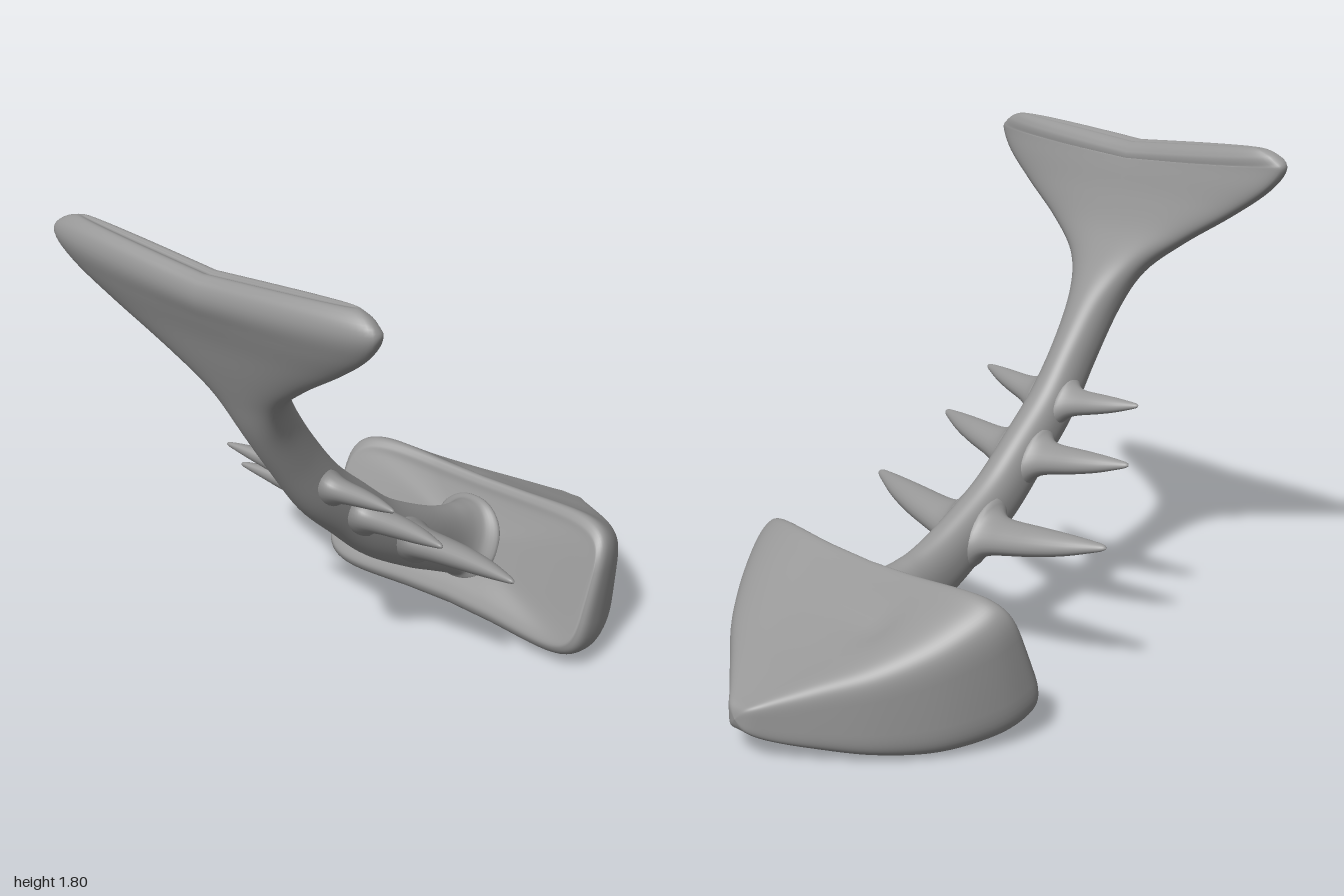
import * as THREE from 'three';

const material = new THREE.MeshStandardMaterial({ color: 0x969696 });

// Smooth interpolation through rows of section values, u in 0..1
function sample(rows, u) {
  const f = Math.min(Math.max(u, 0), 1) * (rows.length - 1);
  const i = Math.min(Math.floor(f), rows.length - 2);
  const t = f - i;
  const row = (k) => rows[Math.min(Math.max(k, 0), rows.length - 1)];
  return rows[i].map((b, k) => {
    const a = row(i - 1)[k], c = row(i + 1)[k], d = row(i + 2)[k];
    const m0 = (c - a) / 2, m1 = (d - b) / 2;
    return b + t * (m0 + t * (3 * (c - b) - 2 * m0 - m1 + t * (2 * (b - c) + m0 + m1)));
  });
}

// Point on a rounded-box outline; a higher exponent gives squarer corners
function outline(angle, exponent) {
  const c = Math.cos(angle), s = Math.sin(angle);
  const p = 2 / exponent;
  return [Math.sign(c) * Math.abs(c) ** p, Math.sign(s) * Math.abs(s) ** p];
}

// Closed skin over rings of points
function loft(name, nu, nv, pointAt) {
  const positions = [], index = [];
  for (let i = 0; i <= nu; i++) {
    for (let j = 0; j < nv; j++) positions.push(...pointAt(i / nu, (j / nv) * Math.PI * 2));
  }
  for (let i = 0; i < nu; i++) {
    for (let j = 0; j < nv; j++) {
      const a = i * nv + j, c = i * nv + ((j + 1) % nv);
      index.push(a, a + nv, c, c, a + nv, c + nv);
    }
  }
  const geometry = new THREE.BufferGeometry();
  geometry.setAttribute('position', new THREE.Float32BufferAttribute(positions, 3));
  geometry.setIndex(index);
  geometry.computeVertexNormals();
  const mesh = new THREE.Mesh(geometry, material);
  mesh.name = name;
  return mesh;
}

// Wedge head: bottom x, bottom y, top x, top y, half width, hollow of the back
const headRows = [
  [0.25, 0.31, 0.25, 0.31, 0, 1],
  [0.2, 0.2, 0.295, 0.42, 0.28, 1],
  [0.152, 0.11, 0.33, 0.515, 0.53, 1],
  [0.147, 0.065, 0.35, 0.555, 0.575, 0.8],
  [0.2, 0.02, 0.39, 0.574, 0.59, 0.4],
  [0.33, -0.012, 0.46, 0.535, 0.57, 0],
  [0.52, -0.022, 0.58, 0.45, 0.49, 0],
  [0.69, 0.0, 0.72, 0.36, 0.365, 0],
  [0.83, 0.038, 0.84, 0.288, 0.22, 0],
  [0.93, 0.074, 0.935, 0.23, 0.105, 0],
  [0.985, 0.112, 0.985, 0.197, 0.045, 0],
  [1.0, 0.155, 1.0, 0.155, 0, 0],
];

function makeHead() {
  return loft('head', 66, 96, (u, angle) => {
    const [bx, by, tx, ty, w, hollow] = sample(headRows, u);
    const [h, v] = outline(angle, 5);
    const z = h * w;
    const k = (v + 1) / 2;
    const x = bx + (tx - bx) * k + 0.045 * hollow * (1 - (z / 0.59) ** 2);
    // Top and bottom sag slightly inwards along the middle
    let y = by + (ty - by) * k - v * 0.09 * w * (1 - h * h);
    // Shallow eye dimple on one side
    if (v > 0.5) y -= 0.018 * Math.exp(-((x - 0.58) ** 2 + (z + 0.2) ** 2) / 0.004);
    return [x, y, z];
  });
}

// Spine flowing into the tail fin: x, y, half width, half thickness, notch, exponent
const spineRows = [
  [-0.915, 1.803, 0.53, 0, 1, 3],
  [-0.915, 1.8, 0.565, 0.035, 1, 3],
  [-0.922, 1.78, 0.615, 0.056, 1, 3],
  [-0.932, 1.74, 0.645, 0.064, 0.8, 3],
  [-0.912, 1.66, 0.59, 0.062, 0.3, 3],
  [-0.88, 1.56, 0.46, 0.058, 0, 2.9],
  [-0.838, 1.45, 0.295, 0.06, 0, 2.7],
  [-0.785, 1.34, 0.16, 0.07, 0, 2.5],
  [-0.715, 1.21, 0.095, 0.085, 0, 2.3],
  [-0.61, 1.04, 0.074, 0.09, 0, 2.2],
  [-0.49, 0.87, 0.075, 0.096, 0, 2.2],
  [-0.35, 0.73, 0.075, 0.1, 0, 2.2],
  [-0.2, 0.59, 0.075, 0.105, 0, 2.2],
  [0, 0.46, 0.075, 0.112, 0, 2.2],
  [0.13, 0.392, 0.073, 0.12, 0, 2.2],
  [0.21, 0.358, 0.08, 0.132, 0, 2.2],
  [0.26, 0.338, 0.1, 0.142, 0, 2.2],
  [0.3, 0.322, 0.145, 0.15, 0, 2.2],
  [0.35, 0.302, 0.02, 0.02, 0, 2.2],
];

function makeSpine() {
  return loft('spineAndTailFin', 108, 64, (u, angle) => {
    const [x, y, w, r, notch, exponent] = sample(spineRows, u);
    const a = sample(spineRows, u - 0.02), b = sample(spineRows, u + 0.02);
    const t = new THREE.Vector2(b[0] - a[0], b[1] - a[1]).normalize();
    const [h, v] = outline(angle, exponent);
    const dip = 0.045 * notch * (1 - Math.abs(h));
    return [x - t.y * v * r, y + t.x * v * r - dip, h * w];
  });
}

// Rib profile: fraction of length, backward sweep, rise, thickness
const ribRows = [
  [0, 0, 0, 1],
  [0.12, 0, 0, 1],
  [0.22, 0, 0.05, 1],
  [0.35, 0.06, 0.2, 0.94],
  [0.55, 0.24, 0.45, 0.8],
  [0.75, 0.52, 0.7, 0.58],
  [0.92, 0.85, 0.93, 0.3],
  [0.98, 0.97, 1, 0.16],
  [1, 1, 1, 0],
];

function makeRib(name, side, { x, y, length, sweep, rise, rx, ry }) {
  return loft(name, 48, 24, (u, angle) => {
    const [along, back, up, thickness] = sample(ribRows, u);
    // Flared root that blends into the spine
    const flare = 0.65 * Math.exp(-Math.max(0, along * length - 0.066) / 0.026);
    const size = thickness + flare;
    const c = Math.cos(angle) * size * rx;
    const s = -side * Math.sin(angle) * size;
    // Section leans along the slope of the spine, most of all at the root
    return [x - sweep * back + c, y + rise * up + s * ry - (0.25 + 0.5 * flare) * c, side * along * length];
  });
}

export function createModel() {
  const model = new THREE.Group();
  model.name = 'fishSkeleton';
  model.add(makeHead(), makeSpine());

  // Three pairs of ribs, growing towards the head
  const ribs = [
    { x: -0.498, y: 0.89, length: 0.36, sweep: 0.04, rise: 0.038, rx: 0.046, ry: 0.042 },
    { x: -0.343, y: 0.722, length: 0.44, sweep: 0.053, rise: 0.043, rx: 0.057, ry: 0.05 },
    { x: -0.083, y: 0.505, length: 0.55, sweep: 0.073, rise: 0.055, rx: 0.068, ry: 0.056 },
  ];
  ribs.forEach((rib, i) => {
    model.add(makeRib(`ribLeft${i + 1}`, 1, rib), makeRib(`ribRight${i + 1}`, -1, rib));
  });
  return model;
}
